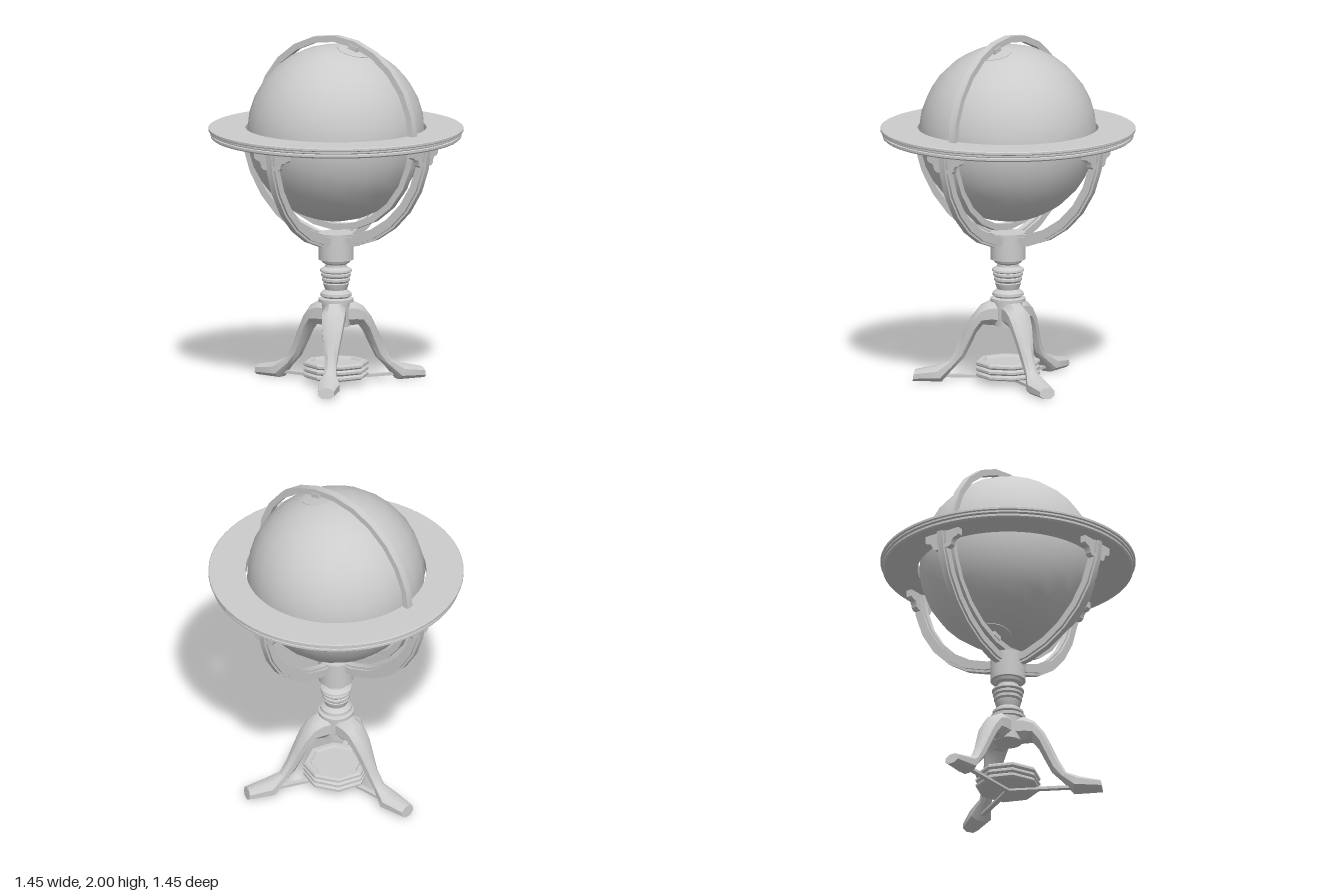
import * as THREE from 'three';
import { toCreasedNormals } from 'three/addons/utils/BufferGeometryUtils.js';

const CENTRE = 1.44; // height of the globe's centre
const TILT = -0.262; // lean of the globe's axis
const material = new THREE.MeshStandardMaterial({ color: 0xcccccc });

function part(name, geometry, parent, crease = 0.5) {
  const mesh = new THREE.Mesh(crease ? toCreasedNormals(geometry, crease) : geometry, material);
  mesh.name = name;
  parent.add(mesh);
  return mesh;
}

function lathe(points, segments, start = 0, length = Math.PI * 2) {
  return new THREE.LatheGeometry(points.map(([x, y]) => new THREE.Vector2(x, y)), segments, start, length);
}

// Rectangular band standing upright, swept from the bottom towards +x
function band(inner, outer, half, segments, length) {
  const profile = [[inner, -half], [outer, -half], [outer, half], [inner, half], [inner, -half]];
  return lathe(profile, segments, 0, length).rotateX(Math.PI / 2).translate(0, CENTRE, 0);
}

// Chamfered loft along +x; each station is [topX, topY, bottomX, bottomY, halfWidth]
function loft(stations) {
  const k = 0.45;
  const ring = [[1, -k], [1, k], [k, 1], [-k, 1], [-1, k], [-1, -k], [-k, -1], [k, -1]];
  const positions = [], index = [], n = ring.length;
  stations.forEach(([tx, ty, bx, by, w], i) => {
    for (const [u, v] of ring) {
      positions.push((tx + bx + u * (tx - bx)) / 2, (ty + by + u * (ty - by)) / 2, v * w);
    }
    if (i === stations.length - 1) return;
    for (let j = 0; j < n; j++) {
      const a = i * n + j, b = i * n + (j + 1) % n;
      index.push(a, b, a + n, b, b + n, a + n);
    }
  });
  const last = (stations.length - 1) * n;
  for (let j = 1; j < n - 1; j++) index.push(last, last + j, last + j + 1);
  const geometry = new THREE.BufferGeometry();
  geometry.setAttribute('position', new THREE.Float32BufferAttribute(positions, 3));
  geometry.setIndex(index);
  geometry.computeVertexNormals();
  return geometry;
}

function bracketGeometry() {
  const half = [[0.115, 1.42], [0.115, 1.37], [0.1, 1.358], [0.08, 1.355], [0.07, 1.34], [0.065, 1.32], [0.05, 1.308], [0.03, 1.308]];
  const outline = [...half, ...half.map(([x, y]) => [-x, y]).reverse()];
  const shape = new THREE.Shape(outline.map(([x, y]) => new THREE.Vector2(x, y)));
  return new THREE.ExtrudeGeometry(shape, { depth: 0.036, bevelEnabled: false })
    .translate(0, 0, 0.594).rotateY(Math.PI / 2);
}

export function createModel() {
  const model = new THREE.Group();
  model.name = 'floorGlobe';

  // Tilted globe with polar discs and pivots
  const globe = new THREE.Group();
  globe.name = 'globe';
  globe.position.y = CENTRE;
  globe.rotation.z = TILT;
  model.add(globe);
  part('sphere', new THREE.SphereGeometry(0.505, 24, 16), globe, 0);
  for (const side of [1, -1]) {
    const disc = part('polarDisc', lathe([[0.097, 0.485], [0.097, 0.499], [0, 0.508]], 24), globe);
    const pivot = part('polePivot', new THREE.BoxGeometry(0.06, 0.04, 0.054), globe);
    pivot.position.y = side * 0.512;
    if (side < 0) disc.rotation.x = Math.PI;
  }

  // Upright meridian ring
  part('meridianRing', band(0.522, 0.558, 0.021, 24, Math.PI * 2), model, 0.4);

  // Flat horizon ring with moulded rim
  part('horizonRing', lathe([
    [0.512, 1.41], [0.7, 1.41], [0.71, 1.418], [0.71, 1.43], [0.702, 1.434], [0.715, 1.44],
    [0.715, 1.45], [0.723, 1.455], [0.723, 1.467], [0.718, 1.471], [0.512, 1.471], [0.512, 1.41],
  ], 64), model);

  // Four curved arms with brackets beneath the horizon ring
  for (let i = 0; i < 4; i++) {
    const arm = new THREE.Group();
    arm.name = 'supportArm';
    arm.rotation.y = i * Math.PI / 2;
    model.add(arm);
    part('armCore', band(0.588, 0.655, 0.017, 7, Math.PI / 2), arm);
    part('armMoulding', band(0.6, 0.642, 0.03, 7, Math.PI / 2), arm);
    part('armBracket', bracketGeometry(), arm);
  }

  // Turned column
  part('column', lathe([
    [0, 0.33], [0.08, 0.33], [0.08, 0.47], [0.1, 0.47], [0.1, 0.488], [0.075, 0.495], [0.09, 0.505], [0.088, 0.52],
    [0.062, 0.54], [0.068, 0.555], [0.074, 0.575], [0.069, 0.58], [0.08, 0.592], [0.08, 0.604], [0.074, 0.61],
    [0.085, 0.62], [0.085, 0.632], [0.078, 0.637], [0.092, 0.645], [0.09, 0.655], [0.062, 0.672], [0.06, 0.685],
    [0.078, 0.695], [0.085, 0.71], [0.1, 0.712], [0.1, 0.865], [0, 0.865],
  ], 24), model, 0.6);

  // Three curved legs, each tied to the centre by a rod
  for (let i = 0; i < 3; i++) {
    const leg = new THREE.Group();
    leg.name = 'leg';
    leg.rotation.y = Math.PI + i * Math.PI * 2 / 3;
    model.add(leg);
    part('legBody', loft([
      [0.05, 0.475, 0.05, 0.33, 0.062], [0.1, 0.47, 0.1, 0.332, 0.064], [0.155, 0.44, 0.14, 0.335, 0.065],
      [0.21, 0.37, 0.175, 0.29, 0.058], [0.255, 0.28, 0.21, 0.215, 0.045],
      [0.29, 0.2, 0.25, 0.135, 0.034], [0.335, 0.12, 0.31, 0.075, 0.034],
      [0.41, 0.085, 0.375, 0, 0.062], [0.53, 0.06, 0.54, 0, 0.045],
    ]), leg, 0.7);
    const rod = part('stretcherRod', new THREE.BoxGeometry(0.38, 0.016, 0.028), leg);
    rod.position.set(0.19, 0.031, 0);
  }

  // Ridged octagonal tray between the legs
  part('tray', lathe([
    [0, 0.036], [0.172, 0.036], [0.185, 0.044], [0.185, 0.056], [0.17, 0.066], [0.185, 0.076], [0.185, 0.088],
    [0.17, 0.098], [0.185, 0.108], [0.185, 0.12], [0.175, 0.13], [0.15, 0.13], [0.14, 0.118], [0, 0.118],
  ], 8), model);

  return model;
}
